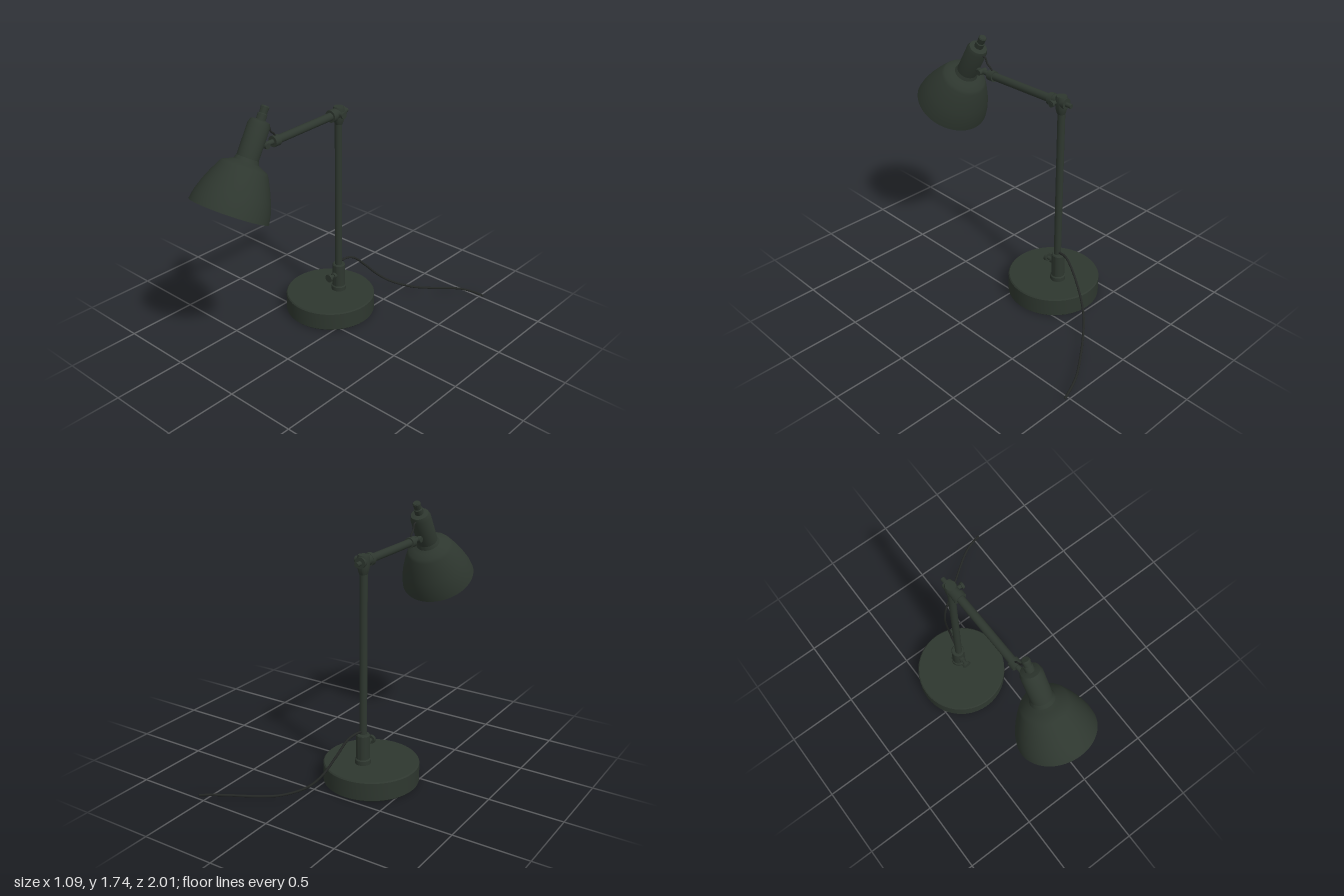
import * as THREE from 'three';
import { toCreasedNormals } from 'three/addons/utils/BufferGeometryUtils.js';

export function createModel() {
  const lamp = new THREE.Group();
  lamp.name = 'deskLamp';

  const enamel = new THREE.MeshStandardMaterial({ color: 0x2e372f });
  enamel.name = 'dark green enamel';
  const rubber = new THREE.MeshStandardMaterial({ color: 0x242725 });
  rubber.name = 'black rubber';

  const V = (x, y, z) => new THREE.Vector3(x, y, z);

  function add(name, geometry, material = enamel, parent = lamp) {
    const mesh = new THREE.Mesh(geometry, material);
    mesh.name = name;
    parent.add(mesh);
    return mesh;
  }

  // Turned part from [radius, height] pairs, listed bottom to top on the outside
  function turned(name, profile, parent = lamp, sides = 32) {
    const points = profile.map(([r, y]) => new THREE.Vector2(r, y));
    const geometry = toCreasedNormals(new THREE.LatheGeometry(points, sides), 0.6);
    return add(name, geometry, enamel, parent);
  }

  // Straight round bar between two points
  function rod(name, a, b, radius, sides = 20) {
    const dir = b.clone().sub(a);
    const mesh = add(name, new THREE.CylinderGeometry(radius, radius, dir.length(), sides));
    mesh.position.copy(a).add(b).multiplyScalar(0.5);
    mesh.quaternion.setFromUnitVectors(V(0, 1, 0), dir.normalize());
    return mesh;
  }

  function cable(name, points, radius, segments) {
    const curve = new THREE.CatmullRomCurve3(points.map(p => V(...p)));
    add(name, new THREE.TubeGeometry(curve, segments, radius, 8), rubber);
    points = [curve.getPoint(0), curve.getPoint(1)];
    for (const p of points) {
      add(name + 'End', new THREE.SphereGeometry(radius, 8, 6), rubber).position.copy(p);
    }
  }

  // Heavy round base
  turned('base', [[0, 0], [0.308, 0], [0.315, 0.007], [0.315, 0.128], [0.308, 0.136], [0, 0.136]],
    lamp, 48).position.set(-0.228, 0, -0.17);

  // Socket, clamping screw and upright post
  turned('socket', [[0.052, 0.13], [0.052, 0.165], [0.045, 0.172], [0.045, 0.335], [0.04, 0.342], [0, 0.342]])
    .position.set(-0.203, 0, -0.233);
  rod('clampScrew', V(-0.203, 0.26, -0.2), V(-0.203, 0.26, -0.125), 0.013);
  rod('clampCollar', V(-0.203, 0.26, -0.195), V(-0.203, 0.26, -0.172), 0.022);
  rod('clampKnob', V(-0.203, 0.262, -0.14), V(-0.203, 0.262, -0.122), 0.029);
  rod('post', V(-0.2, 0.3, -0.227), V(-0.2, 1.45, -0.225), 0.025);

  // Elbow joint at the top of the post
  turned('elbow', [[0.026, 1.405], [0.033, 1.425], [0.038, 1.45], [0.038, 1.515], [0.033, 1.528], [0, 1.528]])
    .position.set(-0.198, 0, -0.225);
  rod('elbowHub', V(-0.195, 1.485, -0.16), V(-0.199, 1.485, -0.268), 0.036);
  rod('elbowScrew', V(-0.198, 1.482, -0.26), V(-0.2, 1.48, -0.307), 0.015);
  rod('sideScrew', V(-0.19, 1.485, -0.205), V(-0.125, 1.485, -0.2), 0.013);
  rod('sideKnob', V(-0.142, 1.485, -0.2), V(-0.126, 1.485, -0.2), 0.022);

  // Horizontal arm with a collar at each end
  rod('arm', V(-0.192, 1.482, -0.18), V(-0.178, 1.475, 0.38), 0.027);
  rod('rearCollar', V(-0.192, 1.482, -0.168), V(-0.191, 1.482, -0.135), 0.042);
  rod('frontCollar', V(-0.178, 1.475, 0.355), V(-0.177, 1.475, 0.402), 0.036);
  rod('armTip', V(-0.177, 1.475, 0.39), V(-0.172, 1.478, 0.545), 0.016);
  rod('headPivot', V(-0.205, 1.476, 0.475), V(-0.14, 1.476, 0.475), 0.019);

  // Tilted head: the local y axis runs from the rim to the tip
  const head = new THREE.Group();
  head.name = 'head';
  head.position.set(-0.17, 1.145, 0.787);
  head.rotation.x = -0.52;
  lamp.add(head);
  turned('shade', [
    [0.03, 0.28], [0.135, 0.278], [0.18, 0.2], [0.21, 0.135], [0.235, 0.06], [0.246, 0],
    [0.253, 0], [0.243, 0.06], [0.218, 0.135], [0.19, 0.2], [0.158, 0.265], [0.144, 0.286],
    [0.105, 0.303], [0.08, 0.316], [0.07, 0.34],
  ], head, 48);
  turned('lampHolder', [[0.07, 0.32], [0.07, 0.545], [0.06, 0.572], [0.028, 0.58], [0, 0.58]], head);
  turned('cableGland', [[0.03, 0.575], [0.03, 0.615], [0.024, 0.62], [0.027, 0.66], [0.022, 0.668], [0, 0.668]], head, 20);
  turned('bulb', [
    [0, 0.025], [0.022, 0.03], [0.041, 0.043], [0.053, 0.062], [0.056, 0.08],
    [0.053, 0.105], [0.043, 0.15], [0.032, 0.19], [0.032, 0.285],
  ], head, 24);

  // Short lead from the arm into the lamp holder
  cable('headLead', [[-0.177, 1.5, 0.375], [-0.175, 1.525, 0.39], [-0.172, 1.55, 0.42],
    [-0.17, 1.585, 0.435], [-0.17, 1.592, 0.475]], 0.006, 24);

  // Power cable trailing behind the base
  cable('powerCable', [
    [-0.195, 0.36, -0.25], [-0.187, 0.362, -0.31], [-0.17, 0.342, -0.365], [-0.145, 0.26, -0.45],
    [-0.1, 0.15, -0.55], [-0.04, 0.085, -0.625], [0.08, 0.04, -0.725], [0.18, 0.035, -0.8],
    [0.36, 0.046, -0.925], [0.45, 0.041, -0.967], [0.535, 0.025, -0.993],
  ], 0.008, 72);

  return lamp;
}
